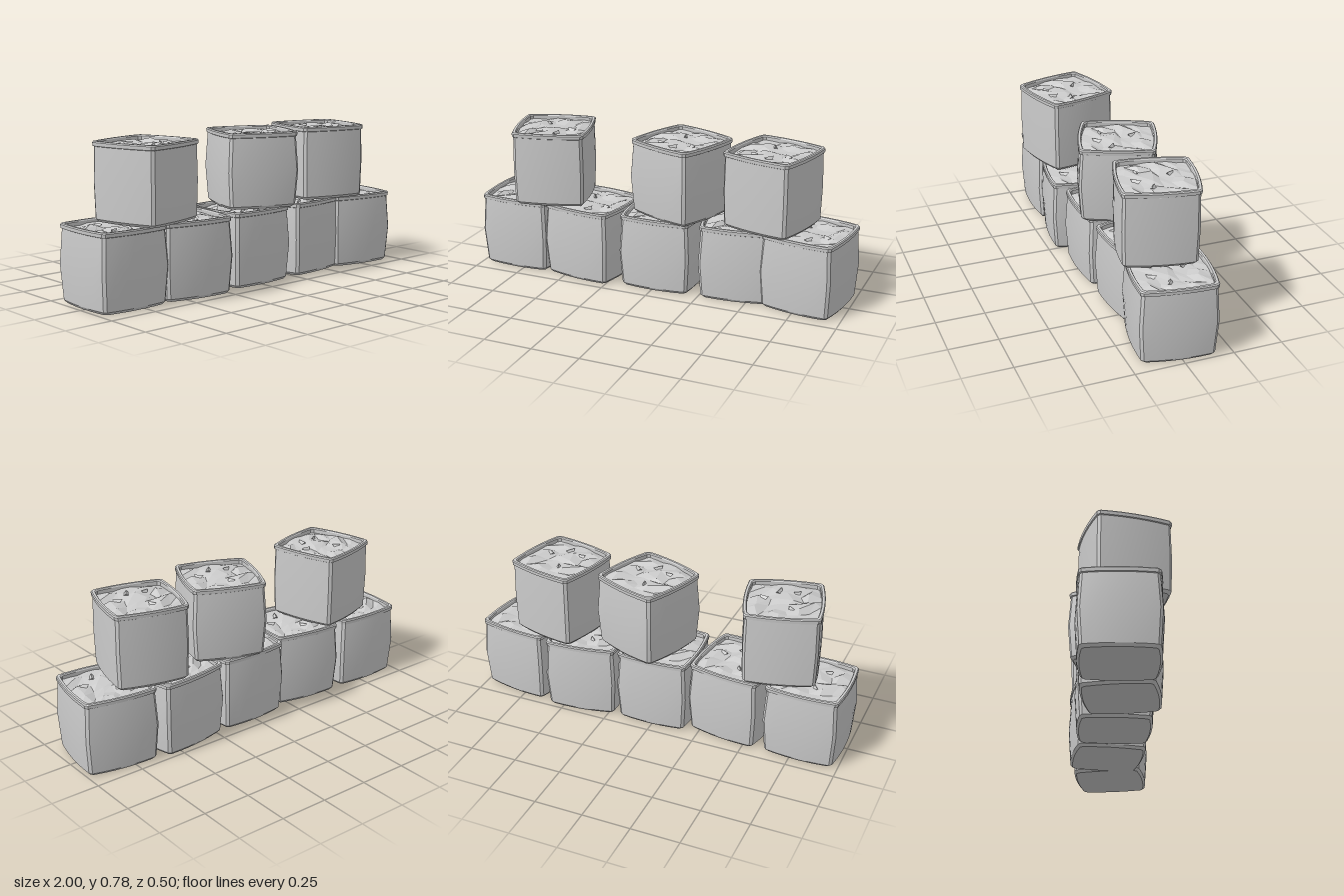
import * as THREE from 'three';
import { toCreasedNormals } from 'three/addons/utils/BufferGeometryUtils.js';

const H = 0.388;      // height of one container
const BOW = 0.013;    // outward bow of each wall in plan
const SEG = 6;        // segments along each wall

// Closed square ring with bowed sides and chamfered corners
function ring(half, y, bow = BOW, cut = 0.013) {
  const pts = [];
  for (let k = 0; k < 4; k++) {
    for (let i = 0; i <= SEG; i++) {
      const t = -1 + (2 * i) / SEG;
      let x = t * (half - cut), z = half + bow * (1 - t * t);
      for (let r = 0; r < k; r++) [x, z] = [z, -x];
      pts.push([x, y, z]);
    }
  }
  return pts;
}

// Skin a stack of rings, optionally closing the first one
function loft(rings, capBottom) {
  const n = rings[0].length, pos = rings.flat(2), idx = [];
  for (let j = 0; j < rings.length - 1; j++) {
    for (let i = 0; i < n; i++) {
      const a = j * n + i, b = j * n + ((i + 1) % n);
      idx.push(a, b, b + n, a, b + n, a + n);
    }
  }
  if (capBottom) {
    const c = pos.length / 3;
    pos.push(0, rings[0][0][1], 0);
    for (let i = 0; i < n; i++) idx.push(c, (i + 1) % n, i);
  }
  const g = new THREE.BufferGeometry();
  g.setAttribute('position', new THREE.Float32BufferAttribute(pos, 3));
  g.setIndex(idx);
  return toCreasedNormals(g, 0.4);
}

function seeded(seed) {
  let s = seed;
  return () => (s = (s * 16807) % 2147483647) / 2147483647;
}

// Fabric sack body: bevelled foot, belly, neck under the rim
function bodyGeometry(belly) {
  return loft([
    ring(0.168, 0), ring(0.179, 0.014), ring(0.181 + belly, 0.19),
    ring(0.18, 0.362), ring(0.174, 0.372),
  ], true);
}

// Folded rim around the open top
function rimGeometry() {
  return loft([
    ring(0.177, 0.361), ring(0.185, 0.365), ring(0.186, 0.382), ring(0.182, H),
    ring(0.171, H), ring(0.167, 0.382), ring(0.167, 0.345),
  ], false);
}

// Jagged fill: jittered grid that follows the bowed walls
function fillGeometry() {
  const N = 7, rnd = seeded(4711);
  const g = new THREE.PlaneGeometry(2, 2, N, N).rotateX(-Math.PI / 2);
  const p = g.attributes.position;
  for (let i = 0; i < p.count; i++) {
    let u = p.getX(i), v = p.getZ(i);
    const edge = Math.max(Math.abs(u), Math.abs(v)) > 0.99;
    const a = rnd(), b = rnd(), c = rnd();
    if (!edge) { u += (a - 0.5) * 0.22; v += (b - 0.5) * 0.22; }
    const half = 0.168;
    p.setXYZ(i,
      u * (half + BOW * (1 - v * v)),
      edge ? 0.36 + 0.01 * c : 0.358 + 0.026 * c,
      v * (half + BOW * (1 - u * u)));
  }
  return g.toNonIndexed();
}

export function createModel() {
  const model = new THREE.Group();
  model.name = 'barrierWall';
  const smooth = new THREE.MeshStandardMaterial({ color: 0xcccccc, side: THREE.DoubleSide });
  const flat = new THREE.MeshStandardMaterial({ color: 0xcccccc, flatShading: true });

  const rim = rimGeometry(), fill = fillGeometry();
  const straight = bodyGeometry(0.002), bulged = bodyGeometry(0.009);
  const shard = new THREE.TetrahedronGeometry(0.03);
  // x, z, size, turn of the stones poking out of the fill
  const shards = [[0.1, 0.03, 1, 0.4], [0.03, 0.1, 1.1, 2], [-0.06, 0.09, 0.8, 1.1], [-0.04, -0.07, 0.9, 3]];

  function container(name, x, y, z, degrees, body) {
    const group = new THREE.Group();
    group.name = name;
    const add = (part, geometry, material) => {
      const mesh = new THREE.Mesh(geometry, material);
      mesh.name = part;
      group.add(mesh);
      return mesh;
    };
    add('body', body, smooth);
    add('rim', rim, smooth);
    add('fill', fill, flat);
    for (const [sx, sz, size, turn] of shards) {
      const stone = add('stone', shard, flat);
      stone.position.set(sx, 0.368, sz);
      stone.scale.set(size, 0.8, size);
      stone.rotation.y = turn;
    }
    group.position.set(x, y, z);
    group.rotation.y = THREE.MathUtils.degToRad(degrees);
    model.add(group);
  }

  // Lower row
  [[-0.795, -0.01, -1], [-0.4, 0.01, -8], [0.008, -0.01, 1], [0.42, -0.035, 7], [0.785, -0.01, -8.5]]
    .forEach(([x, z, r], i) => container('lowerContainer' + (i + 1), x, 0, z, r, bulged));

  // Upper row
  [[-0.617, 0.018, 15, straight], [0.092, -0.012, -21, bulged], [0.58, -0.017, -14, straight]]
    .forEach(([x, z, r, body], i) => container('upperContainer' + (i + 1), x, H, z, r, body));

  return model;
}
